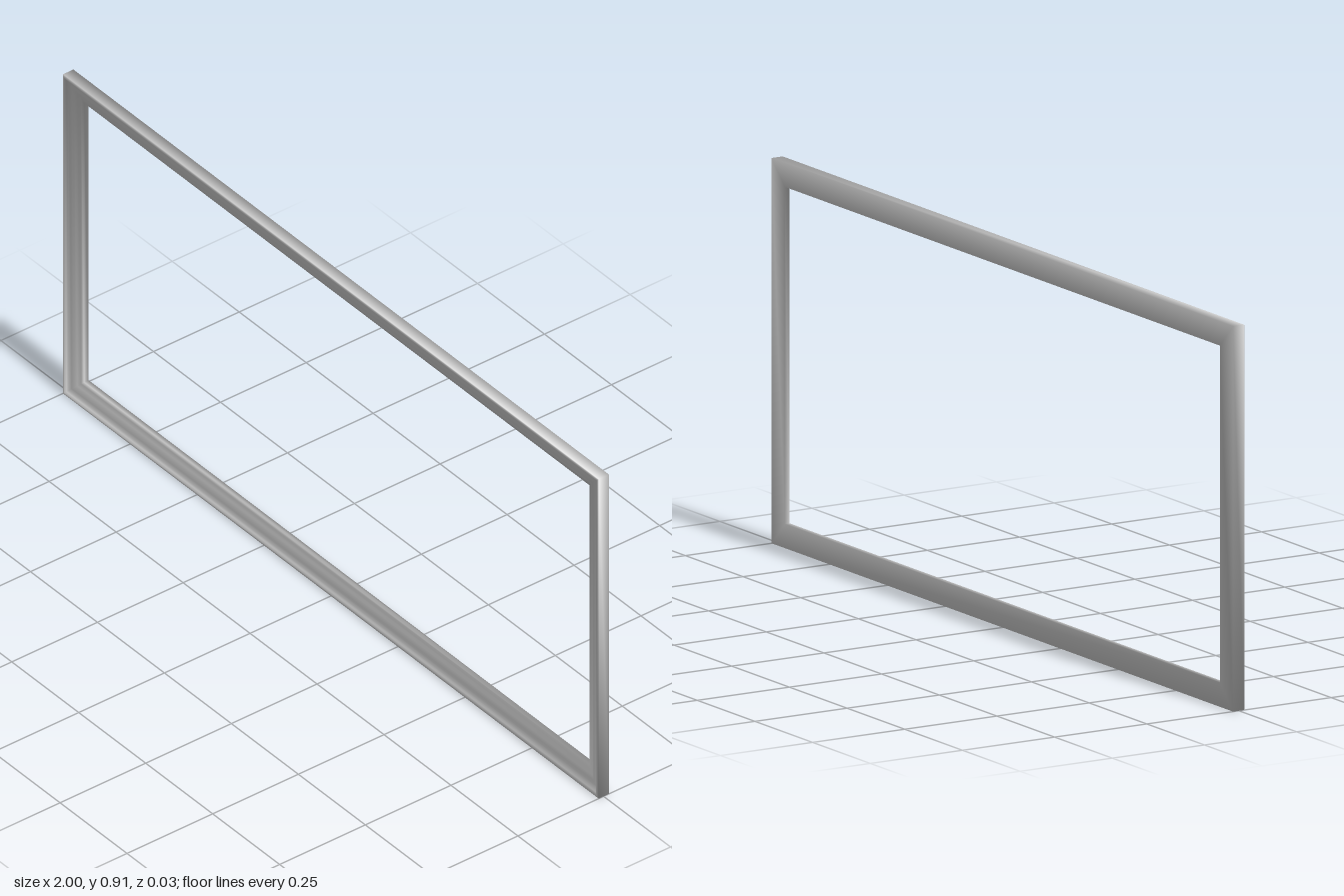
import * as THREE from 'three';

const WIDTH = 2, HEIGHT = 0.91;

// Moulding cross-section: [inset from the outer edge, z], back outer edge first
const PROFILE = [
  [0, -0.016], [0, 0.014], [0.002, 0.016], [0.007, 0.016], [0.010, 0.012],
  [0.014, 0.008], [0.022, 0.006], [0.030, 0.005], [0.038, 0.002],
  [0.047, -0.002], [0.057, -0.003], [0.057, -0.016],
];

// Sweeps the profile round a rectangle with mitred corners
function mitredFrame(width, height, profile) {
  const corners = [[-1, -1], [1, -1], [1, 1], [-1, 1]];
  const n = profile.length;
  const positions = [], indices = [];
  for (const [sx, sy] of corners) {
    for (const [inset, z] of profile) {
      positions.push(sx * (width / 2 - inset), height / 2 + sy * (height / 2 - inset), z);
    }
  }
  for (let i = 0; i < 4; i++) {
    const next = (i + 1) % 4;
    for (let j = 0; j < n; j++) {
      const k = (j + 1) % n;
      const a = i * n + j, b = next * n + j, c = next * n + k, d = i * n + k;
      indices.push(a, b, c, a, c, d);
    }
  }
  const geometry = new THREE.BufferGeometry();
  geometry.setAttribute('position', new THREE.Float32BufferAttribute(positions, 3));
  geometry.setIndex(indices);
  geometry.computeVertexNormals(); // smooth across the mitres and edges
  return geometry;
}

export function createModel() {
  const group = new THREE.Group();
  group.name = 'pictureFrame';

  // Four mitred rails as one continuous moulding
  const moulding = new THREE.Mesh(
    mitredFrame(WIDTH, HEIGHT, PROFILE),
    new THREE.MeshStandardMaterial({ color: 0xcccccc })
  );
  moulding.name = 'frameMoulding';
  group.add(moulding);
  return group;
}
